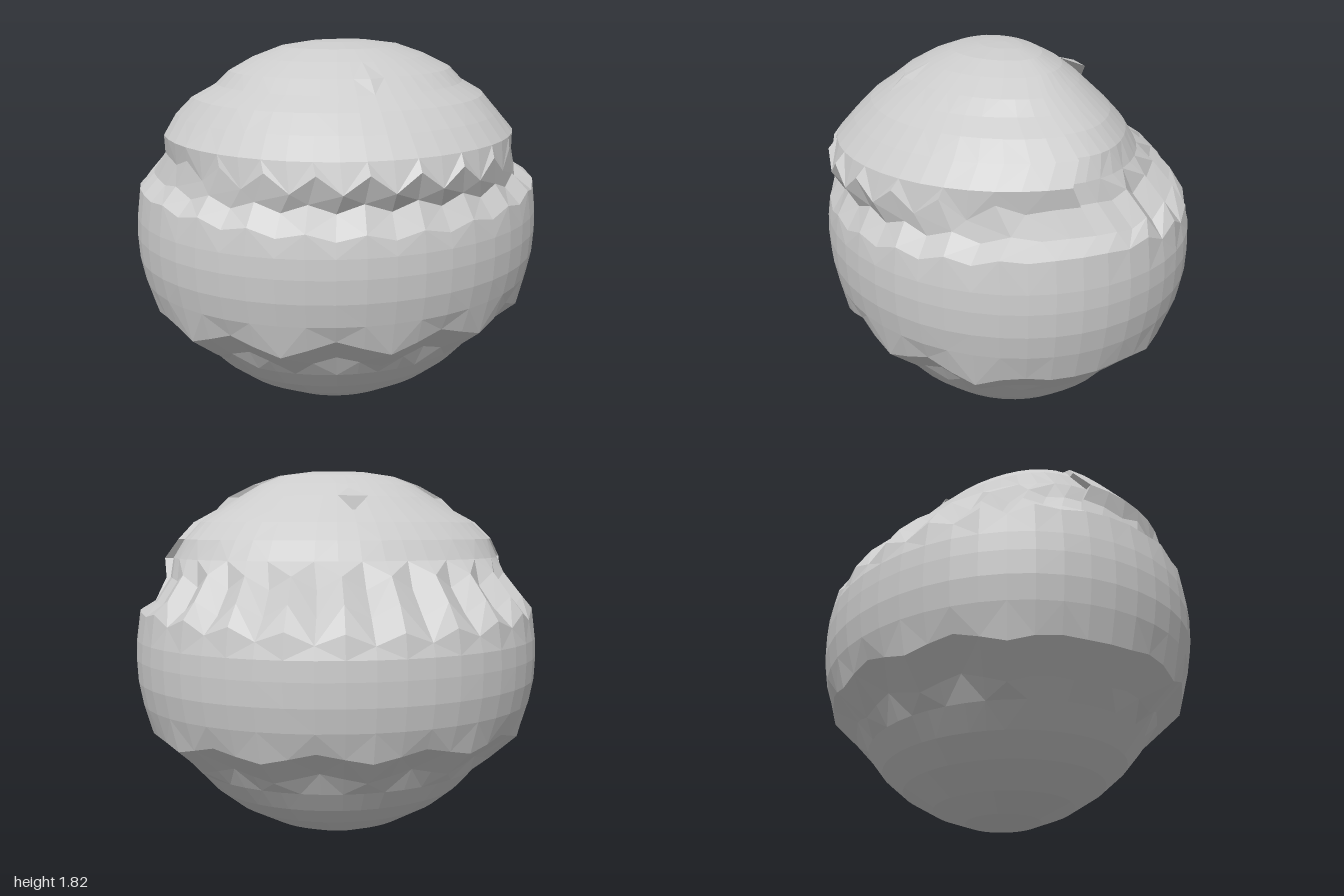
import * as THREE from 'three';
import { ConvexGeometry } from 'three/addons/geometries/ConvexGeometry.js';

const SEGMENTS = 48;

// One ring of the ball: height, half width, depth to the front and to the back.
// Options: side = extra height at the sides, jagF / jagB = tooth height front / back,
// period = columns per tooth, ripple = in-out wobble at the back,
// drop = how far the back shell sits below the front one, seam = z shift of the seam.
const ring = (y, x, zf, zb, opts = {}) => ({
  y, x, zf, zb, side: 0, jagF: 0, jagB: 0, period: 2, ripple: 0, drop: 0, seam: 0, bump: 0, ...opts,
});

const lowerEdge = ring(0.46, 0.80, 0.70, 0.70, { side: -0.02, jagF: 0.03, jagB: 0.025, period: 4 });
const upperEdge = ring(0.58, 0.935, 0.82, 0.82, { side: -0.02, jagF: 0.04, jagB: 0.025, period: 4 });
const underLip = ring(1.20, 0.90, 0.795, 0.775, { jagF: 0.02, jagB: 0.03, ripple: 0.012, seam: -0.09 });

const bowlRings = [
  ring(0.005, 0, 0, 0),
  ring(0.03, 0.19, 0.17, 0.18),
  ring(0.09, 0.36, 0.32, 0.33),
  ring(0.18, 0.53, 0.46, 0.47),
  ring(0.27, 0.64, 0.56, 0.57),
  ring(0.37, 0.73, 0.64, 0.64),
  lowerEdge,
];

const middleRings = [
  lowerEdge,
  upperEdge,
  ring(0.70, 0.975, 0.855, 0.86),
  ring(0.81, 0.995, 0.875, 0.878),
  ring(0.92, 1.0, 0.88, 0.88),
  ring(1.01, 0.995, 0.875, 0.875),
  ring(1.09, 0.975, 0.86, 0.855, { side: 0.06, jagF: 0.015, jagB: 0.025 }),
  underLip,
];

const capRings = [
  underLip,
  ring(1.31, 0.845, 0.85, 0.67, { jagF: 0.04, jagB: 0.03, ripple: 0.012, drop: 0.02, seam: -0.04 }),
  ring(1.40, 0.85, 0.805, 0.58, { drop: 0.04, seam: 0 }),
  ring(1.49, 0.785, 0.72, 0.525, { drop: 0.03, seam: -0.05 }),
  ring(1.57, 0.71, 0.635, 0.45, { drop: 0.03, seam: -0.02 }),
  ring(1.63, 0.60, 0.555, 0.385, { drop: 0.015, seam: 0 }),
  ring(1.69, 0.54, 0.47, 0.32, { drop: 0.05, seam: 0.015, bump: 0.02 }),
  ring(1.75, 0.42, 0.365, 0.24, { drop: 0.03 }),
  ring(1.795, 0.29, 0.25, 0.15, { drop: 0.01 }),
  ring(1.815, 0.14, 0.12, 0.07),
  ring(1.82, 0, 0, 0),
];

// Columns around the ball; the two at the sides are doubled to form the seam step.
const columns = [];
for (let i = 0; i <= SEGMENTS; i++) {
  const quarter = SEGMENTS / 4;
  if (i === quarter) columns.push({ i, back: false }, { i, back: true });
  else if (i === quarter * 3) columns.push({ i, back: true }, { i, back: false });
  else columns.push({ i, back: i > quarter && i < quarter * 3 });
}

function ringPoint(r, { i, back }) {
  const angle = (i / SEGMENTS) * Math.PI * 2;
  const s = Math.sin(angle);
  const c = Math.cos(angle);
  // Triangle wave, low at the middle of the front
  const phase = (i % r.period) / r.period;
  const wave = 1 - 4 * Math.abs(phase - 0.5);
  // Teeth fade out towards the sides
  const fade = Math.min(1, Math.max(0, (Math.abs(c) - 0.15) * 3));
  const jag = (back ? r.jagB : r.jagF) * wave * fade;
  const swell = back ? 1 + r.ripple * wave * fade : 1;
  const width = r.x - (back ? r.drop : 0);
  const depth = back ? r.zb : r.zf;
  const bump = i % SEGMENTS === 0 ? r.bump : 0;
  return [
    width * s * swell,
    r.y + r.side * s * s + jag,
    depth * c * swell + r.seam * Math.pow(Math.abs(s), 8) + bump,
  ];
}

// Skin a stack of rings
function shell(name, rings, material) {
  const positions = [];
  const index = [];
  const n = columns.length;
  rings.forEach((r) => columns.forEach((col) => positions.push(...ringPoint(r, col))));
  for (let j = 0; j < rings.length - 1; j++) {
    for (let i = 0; i < n - 1; i++) {
      const a = j * n + i;
      const b = a + 1;
      const d = a + n;
      const e = d + 1;
      // Alternate the diagonals for an even faceted look
      if ((i + j) % 2) index.push(a, b, e, a, e, d);
      else index.push(a, b, d, b, e, d);
    }
  }
  const indexed = new THREE.BufferGeometry();
  indexed.setAttribute('position', new THREE.Float32BufferAttribute(positions, 3));
  indexed.setIndex(index);
  const geometry = indexed.toNonIndexed();
  geometry.computeVertexNormals();
  const mesh = new THREE.Mesh(geometry, material);
  mesh.name = name;
  return mesh;
}

export function createModel() {
  const group = new THREE.Group();
  group.name = 'crackedBall';
  const material = new THREE.MeshStandardMaterial({
    color: 0xcccccc, flatShading: true, side: THREE.DoubleSide,
  });

  group.add(shell('lowerBowl', bowlRings, material));
  group.add(shell('middleBand', middleRings, material));
  group.add(shell('jaggedCap', capRings, material));

  // Small spur at the back of the cap
  const spur = new THREE.Mesh(new ConvexGeometry([
    new THREE.Vector3(-0.07, 1.69, -0.38),
    new THREE.Vector3(0.07, 1.69, -0.38),
    new THREE.Vector3(0, 1.62, -0.39),
    new THREE.Vector3(0, 1.73, -0.26),
  ]), material);
  spur.name = 'backSpur';
  group.add(spur);

  return group;
}
